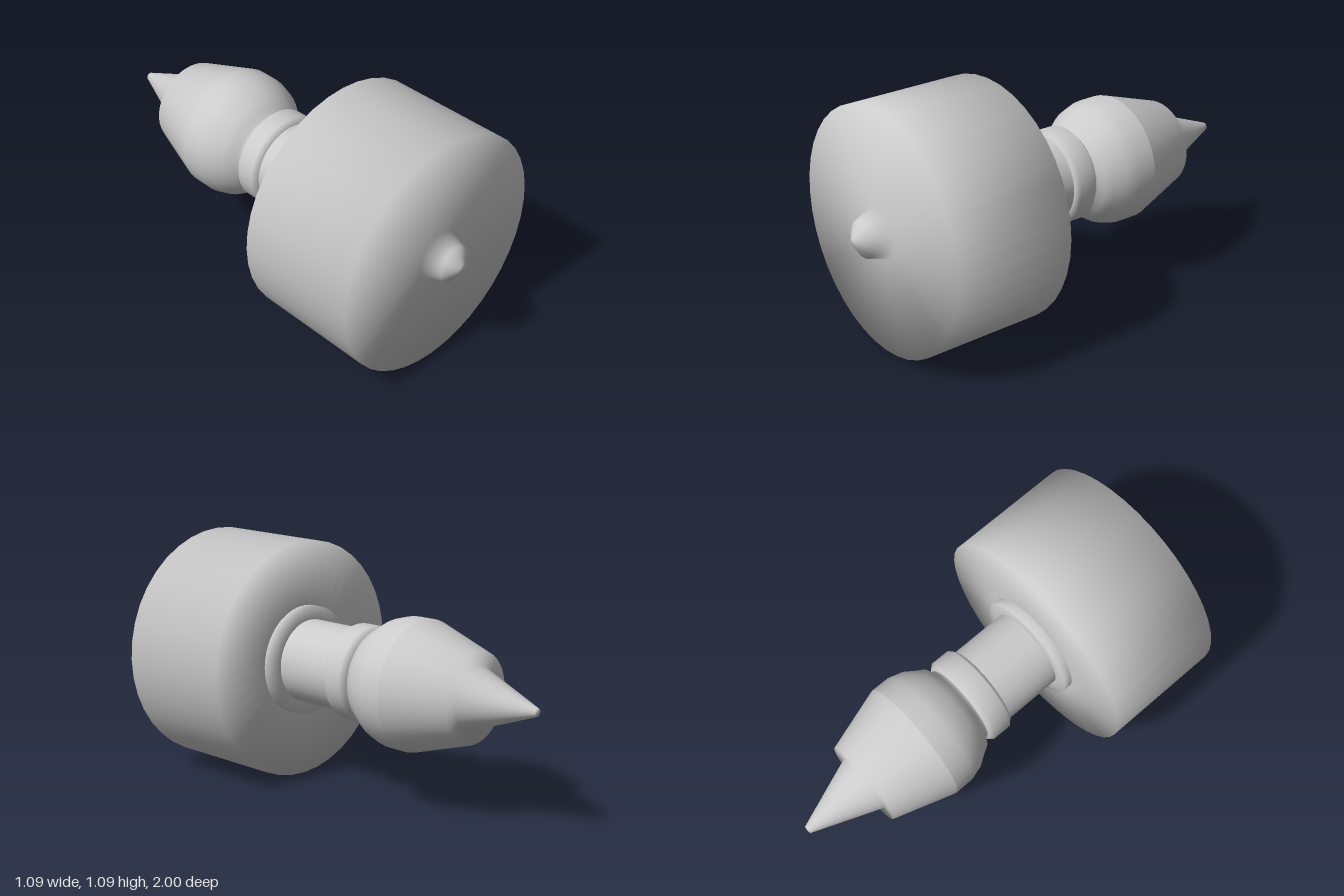
import * as THREE from 'three';

const SIDES = 40;
const AXIS_Y = 0.545;

// Profiles run from back (-z) to front (+z) as [radius, z].
const PROFILES = {
  spikeAndTaper: [[0, -1], [0.018, -0.998], [0.137, -0.685], [0.2, -0.685], [0.29, -0.4]],
  bulb: [[0.29, -0.4], [0.289, -0.31], [0.27, -0.245], [0.24, -0.2], [0.22, -0.165], [0.19, -0.15], [0.185, -0.13]],
  collar: [[0.185, -0.135], [0.2, -0.13], [0.216, -0.113], [0.216, -0.03], [0.2, -0.013], [0.185, -0.01]],
  shaft: [[0.19, -0.012], [0.19, 0.266]],
  flange: [[0.19, 0.265], [0.25, 0.265], [0.25, 0.308]],
  drum: [[0.245, 0.306], [0.545, 0.306], [0.545, 0.873], [0.11, 0.873], [0.083, 0.955], [0.02, 0.998], [0, 1]],
};

// Turned part about the z axis
function turned(name, profile, material) {
  const points = profile.map(([r, z]) => new THREE.Vector2(r, z));
  const geometry = new THREE.LatheGeometry(points, SIDES);
  geometry.rotateX(Math.PI / 2);
  const mesh = new THREE.Mesh(geometry, material);
  mesh.name = name;
  mesh.position.y = AXIS_Y;
  return mesh;
}

export function createModel() {
  const model = new THREE.Group();
  model.name = 'turnedKnob';
  const material = new THREE.MeshStandardMaterial({ color: 0xcccccc, side: THREE.DoubleSide });
  for (const [name, profile] of Object.entries(PROFILES)) {
    model.add(turned(name, profile, material));
  }
  return model;
}
